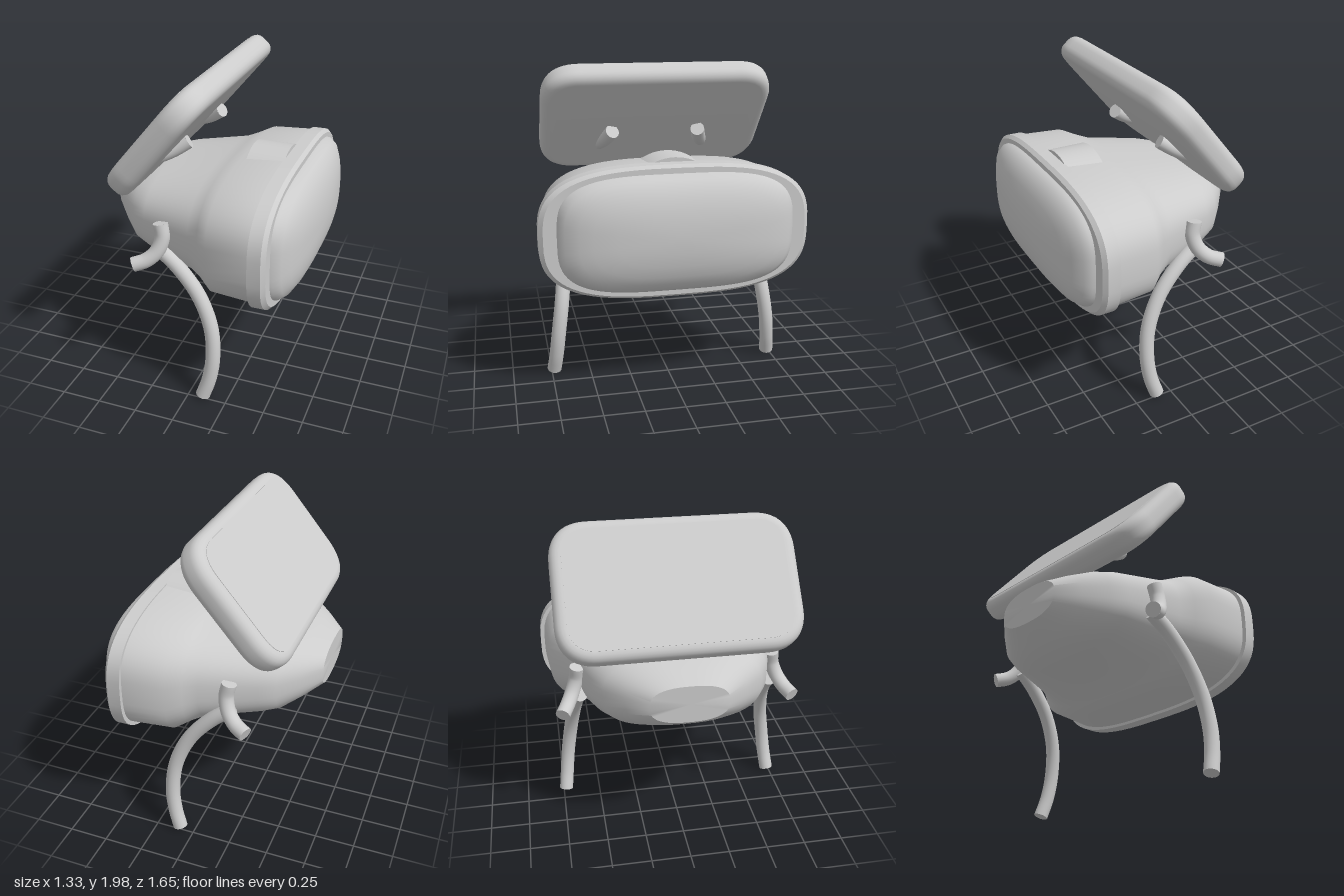
import * as THREE from 'three';
import { toCreasedNormals } from 'three/addons/utils/BufferGeometryUtils.js';

const RING = 72;

// Skin along x through superellipse sections [x, yCentre, halfHeight, halfWidth, exponent]
function loft(sections, crease) {
  const pos = [], idx = [];
  for (const [x, yc, hy, hz, n] of sections) {
    for (let j = 0; j < RING; j++) {
      const t = (j / RING) * Math.PI * 2, c = Math.cos(t), s = Math.sin(t);
      pos.push(x, yc + hy * Math.sign(c) * Math.abs(c) ** (2 / n),
        hz * Math.sign(s) * Math.abs(s) ** (2 / n));
    }
  }
  const last = sections.length - 1;
  for (let i = 0; i < last; i++) {
    for (let j = 0; j < RING; j++) {
      const k = (j + 1) % RING;
      const a = i * RING + j, b = i * RING + k, d = a + RING, c = b + RING;
      idx.push(a, b, d, b, c, d);
    }
  }
  // end caps
  const start = pos.length / 3, end = start + 1;
  pos.push(sections[0][0], sections[0][1], 0, sections[last][0], sections[last][1], 0);
  for (let j = 0; j < RING; j++) {
    const k = (j + 1) % RING;
    idx.push(start, k, j, end, last * RING + j, last * RING + k);
  }
  const g = new THREE.BufferGeometry();
  g.setAttribute('position', new THREE.Float32BufferAttribute(pos, 3));
  g.setIndex(idx);
  return toCreasedNormals(g, crease);
}

function roundedRect(hw, hh, r) {
  const s = new THREE.Shape();
  s.moveTo(-hw + r, -hh);
  s.lineTo(hw - r, -hh);
  s.quadraticCurveTo(hw, -hh, hw, -hh + r);
  s.lineTo(hw, hh - r);
  s.quadraticCurveTo(hw, hh, hw - r, hh);
  s.lineTo(-hw + r, hh);
  s.quadraticCurveTo(-hw, hh, -hw, hh - r);
  s.lineTo(-hw, -hh + r);
  s.quadraticCurveTo(-hw, -hh, -hw + r, -hh);
  return s;
}

export function createModel() {
  const model = new THREE.Group();
  const grey = new THREE.MeshStandardMaterial({ color: 0xcccccc });
  grey.name = 'light grey';

  function add(name, geometry, parent = model) {
    const mesh = new THREE.Mesh(geometry, grey);
    mesh.name = name;
    parent.add(mesh);
    return mesh;
  }

  // Round rod with closed ends along a smooth path; side mirrors it in z
  function rod(name, points, radius, side) {
    const group = new THREE.Group();
    group.name = name;
    const curve = new THREE.CatmullRomCurve3(
      points.map(([x, y, z]) => new THREE.Vector3(x, y, z * side)));
    add(name + 'Tube', new THREE.TubeGeometry(curve, 32, radius, 20), group);
    for (const t of [0, 1]) {
      const cap = add(name + 'End', new THREE.CircleGeometry(radius, 20), group);
      cap.position.copy(curve.getPointAt(t));
      const out = curve.getTangentAt(t).multiplyScalar(t ? 1 : -1);
      cap.quaternion.setFromUnitVectors(new THREE.Vector3(0, 0, 1), out);
    }
    model.add(group);
  }

  // Tapered body
  add('body', loft([
    [-0.665, 1.07, 0.12, 0.24, 2.6],
    [-0.56, 1.06, 0.185, 0.37, 2.6],
    [-0.45, 1.05, 0.237, 0.49, 2.7],
    [-0.35, 1.05, 0.26, 0.55, 2.7],
    [-0.02, 1.04, 0.318, 0.66, 2.8],
    [0.06, 1.038, 0.348, 0.71, 2.9],
    [0.14, 1.035, 0.383, 0.78, 3],
    [0.42, 1.035, 0.397, 0.802, 3],
  ], 0.7));

  // Rim around the wide end, then the bulging face
  add('rim', loft([
    [0.405, 1.03, 0.41, 0.827, 3],
    [0.485, 1.03, 0.41, 0.827, 3],
    [0.508, 1.03, 0.392, 0.8, 3],
  ], 0.35));
  add('face', loft([
    [0.49, 1.03, 0.36, 0.725, 3.5],
    [0.525, 1.03, 0.357, 0.715, 3.5],
    [0.565, 1.03, 0.335, 0.68, 3.4],
    [0.6, 1.03, 0.29, 0.6, 3.2],
    [0.625, 1.03, 0.24, 0.52, 3],
    [0.645, 1.03, 0.17, 0.38, 2.8],
    [0.657, 1.03, 0.09, 0.22, 2.6],
    [0.66, 1.03, 0.02, 0.05, 2.4],
  ], 0.9));

  // Shallow rounded knob on top, mostly sunk into the body
  const knob = add('topKnob', toCreasedNormals(new THREE.CylinderGeometry(0.3, 0.3, 0.235, 64), 0.5));
  knob.rotation.z = Math.PI / 2;
  knob.position.set(0.292, 1.166, 0);

  // Tilted panel with soft edges and an inset on its outer side
  const panel = new THREE.Group();
  panel.name = 'tiltedPanel';
  const bevel = 0.06, thick = 0.165;
  const slab = new THREE.ExtrudeGeometry(roundedRect(0.435 - bevel, 0.745 - bevel, 0.18), {
    depth: thick - 2 * bevel, bevelThickness: bevel, bevelSize: bevel,
    bevelSegments: 5, curveSegments: 12,
  });
  slab.translate(0, 0, bevel - thick / 2);
  add('panelSlab', toCreasedNormals(slab, 0.6), panel);
  const inset = new THREE.ExtrudeGeometry(roundedRect(0.372, 0.672, 0.17), {
    depth: 0.004, bevelEnabled: false, curveSegments: 12,
  });
  inset.translate(0, 0, thick / 2 - 0.001);
  add('panelInset', inset, panel);
  const along = new THREE.Vector3(0.64, 0.768, 0).normalize();
  const outward = new THREE.Vector3(-along.y, along.x, 0);
  panel.quaternion.setFromRotationMatrix(
    new THREE.Matrix4().makeBasis(along, new THREE.Vector3(0, 0, -1), outward));
  panel.position.set(-0.23, 1.627, 0);
  model.add(panel);

  // Mirrored rods: legs, side hooks and stubs under the panel
  for (const [label, side] of [['left', 1], ['right', -1]]) {
    rod(label + 'Leg', [[-0.22, 0.95, 0.61], [-0.1, 0.86, 0.625], [0.04, 0.7, 0.645],
      [0.13, 0.5, 0.672], [0.152, 0.3, 0.7], [0.132, 0.14, 0.718], [0.095, 0.02, 0.733]], 0.046, side);
    rod(label + 'Hook', [[-0.205, 1.135, 0.62], [-0.19, 1.05, 0.63], [-0.215, 0.965, 0.66],
      [-0.27, 0.91, 0.695], [-0.345, 0.883, 0.73]], 0.046, side);
    rod(label + 'PanelStub', [[-0.15, 1.54, 0.285], [-0.25, 1.475, 0.32], [-0.38, 1.42, 0.37]], 0.046, side);
  }
  return model;
}
